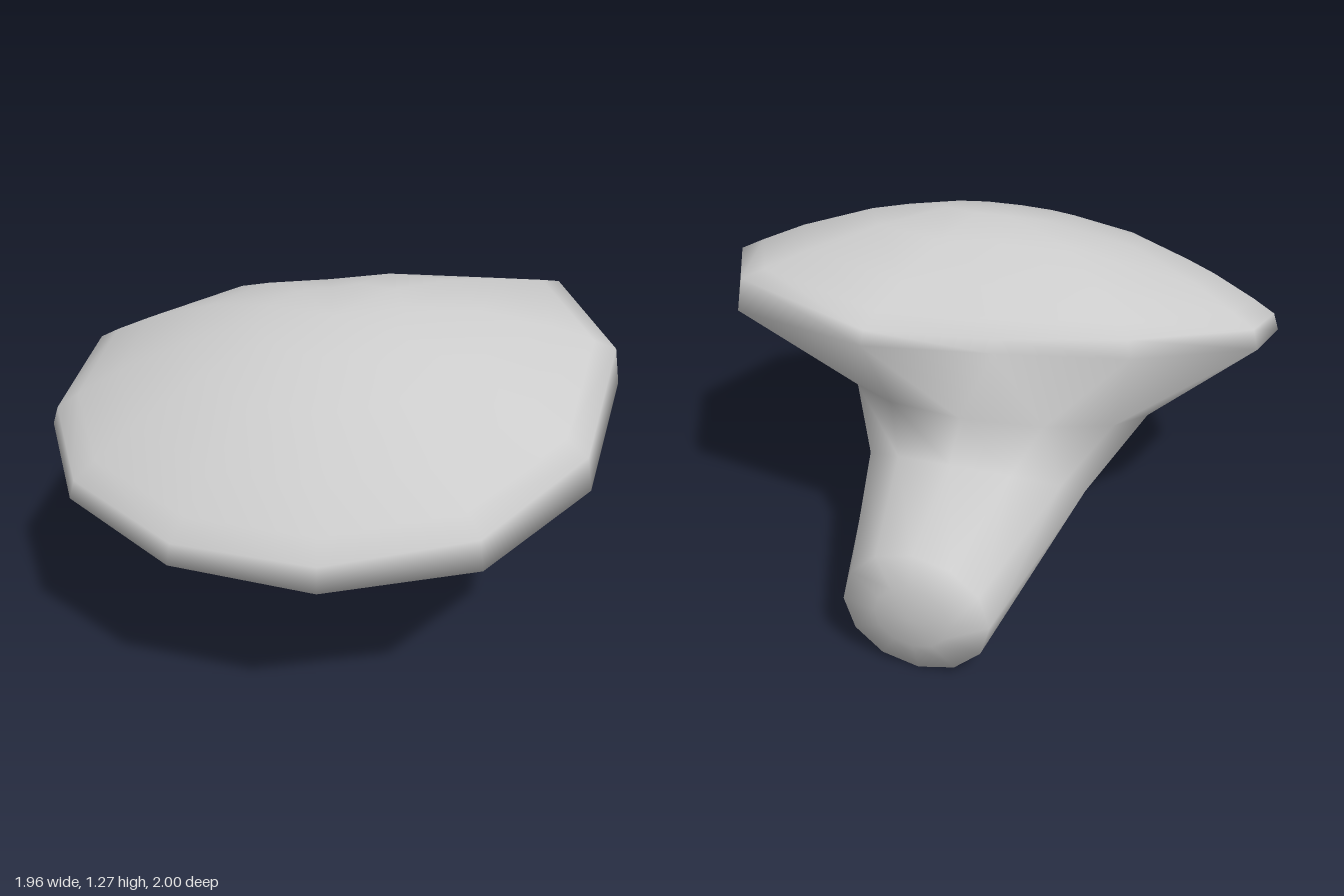
import * as THREE from 'three';

// Cap outline seen from above, [x, z], running anticlockwise from the right side
const RIM = [
  [-0.95, -0.04], [-0.98, 0.36], [-0.79, 0.71], [-0.38, 0.95], [0.11, 1.0], [0.6, 0.84],
  [0.91, 0.45], [0.98, -0.1], [0.75, -0.53], [0.26, -0.62], [-0.15, -0.49], [-0.58, -0.38],
];
const CENTRE_Z = 0.2;

// How far the cap sags towards the middle of its back edge
const backSag = (x, z) => Math.max(0, -z) * (0.2 - 0.3 * x * x);

// Tilted domed surface of the cap; s runs from 0 at the crown to 1 at the rim
function domeRing(s) {
  return RIM.map(([x, z]) => {
    const px = x * s, pz = CENTRE_Z + (z - CENTRE_Z) * s;
    const y = 0.98 - 0.28 * pz + 0.03 * px + 0.3 * (1 - s ** 2.2) - backSag(px, pz);
    return [px, y, pz];
  });
}

// Elliptical section from a lower front point to an upper back point, [y, z]
function stemRing(cx, halfWidth, [fy, fz], [by, bz]) {
  return RIM.map((_, i) => {
    const t = (i - 4) * Math.PI / 6;
    return [
      cx + halfWidth * Math.sin(t),
      (fy + by) / 2 + Math.cos(t) * (fy - by) / 2,
      (fz + bz) / 2 + Math.cos(t) * (fz - bz) / 2,
    ];
  });
}

// Closed smooth skin through the rings, with a pole at each end
function loft(top, rings, bottom) {
  const n = RIM.length;
  const points = [top, ...rings.flat(), bottom];
  const last = points.length - 1;
  const index = [];
  for (let i = 0; i < n; i++) {
    const k = (i + 1) % n;
    index.push(0, 1 + i, 1 + k);
    for (let j = 0; j < rings.length - 1; j++) {
      const a = 1 + j * n + i, b = 1 + j * n + k;
      index.push(a, a + n, b + n, a, b + n, b);
    }
    index.push(last, last - n + k, last - n + i);
  }
  const geometry = new THREE.BufferGeometry();
  geometry.setAttribute('position', new THREE.Float32BufferAttribute(points.flat(), 3));
  geometry.setIndex(index);
  geometry.computeVertexNormals();
  return geometry;
}

export function createModel() {
  const group = new THREE.Group();
  group.name = 'domedKnob';

  const rings = [
    // dome
    ...[0.25, 0.5, 0.75, 0.9, 0.98].map(domeRing),
    // lower edge of the rim
    RIM.map(([x, z]) => [x, 0.895 - 0.26 * z - 0.4 * backSag(x, z), z]),
    // flared underside, neck and stem end
    stemRing(-0.06, 0.54, [0.48, 0.35], [0.77, -0.57]),
    stemRing(-0.045, 0.4, [0.24, -0.09], [0.62, -0.63]),
    stemRing(-0.03, 0.255, [0.0, -0.93], [0.47, -0.95]),
    stemRing(-0.03, 0.13, [0.12, -0.97], [0.36, -0.98]),
  ];
  const geometry = loft([0, 1.224, CENTRE_Z], rings, [-0.03, 0.25, -1]);

  const body = new THREE.Mesh(geometry, new THREE.MeshStandardMaterial({ color: 0xcccccc }));
  body.name = 'capAndStem';
  group.add(body);
  return group;
}
